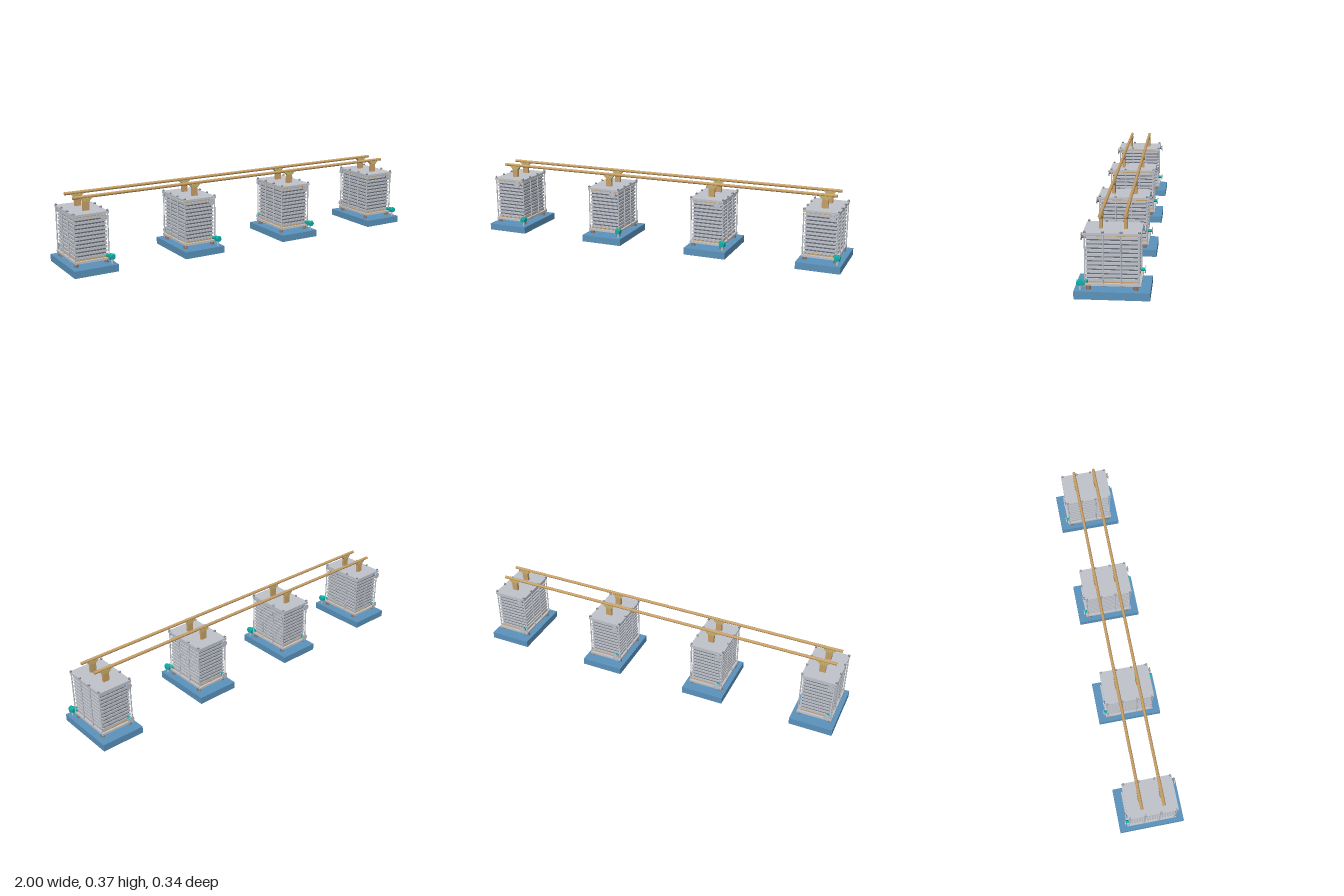
import * as THREE from 'three';

const mat = (name, color) => {
  const m = new THREE.MeshStandardMaterial({ color });
  m.name = name;
  return m;
};
const M = {
  blue: mat('blue paint', 0x5b93bd),
  steel: mat('light steel', 0xc0c4cb),
  dark: mat('dark steel', 0x6b6f7b),
  bolt: mat('bolt grey', 0x8a8e96),
  copper: mat('tan pipe', 0xc9a067),
  brass: mat('brass fitting', 0xc8b46e),
  brown: mat('brown foot', 0x9a7762),
  teal: mat('teal pump', 0x12b0a8),
};

function add(parent, name, geo, material, x = 0, y = 0, z = 0) {
  const m = new THREE.Mesh(geo, material);
  m.name = name;
  m.position.set(x, y, z);
  parent.add(m);
  return m;
}
const box = (p, name, material, w, h, d, x, y, z) =>
  add(p, name, new THREE.BoxGeometry(w, h, d), material, x, y, z);

// Cylinder along a chosen axis
function rod(p, name, material, r, len, x, y, z, axis = 'y', sides = 16) {
  const g = new THREE.CylinderGeometry(r, r, len, sides);
  if (axis === 'x') g.rotateZ(Math.PI / 2);
  if (axis === 'z') g.rotateX(Math.PI / 2);
  return add(p, name, g, material, x, y, z);
}

// Short pipe stub ending in a bolted flange; dir is +1 (front) or -1 (back)
function flangedPort(p, name, material, x, y, dir) {
  const g = new THREE.Group();
  g.name = name;
  rod(g, 'portPipe', material, 0.008, 0.028, x, y, dir * 0.122, 'z');
  rod(g, 'portFlange', M.steel, 0.017, 0.004, x, y, dir * 0.136, 'z', 20);
  for (let i = 0; i < 4; i++) {
    const a = Math.PI / 4 + (i * Math.PI) / 2;
    rod(g, 'flangeBolt', M.bolt, 0.002, 0.006,
      x + 0.0135 * Math.cos(a), y + 0.0135 * Math.sin(a), dir * 0.136, 'z', 6);
  }
  p.add(g);
}

// Flared saddle that joins a riser to the header pipe
function saddleGeometry() {
  const s = new THREE.Shape();
  s.moveTo(-0.016, 0);
  s.lineTo(0.016, 0);
  s.lineTo(0.03, 0.013);
  s.lineTo(0.03, 0.017);
  s.lineTo(-0.03, 0.017);
  s.lineTo(-0.03, 0.013);
  const g = new THREE.ExtrudeGeometry(s, { depth: 0.018, bevelEnabled: false });
  g.translate(0, 0, -0.009);
  return g;
}

function createUnit() {
  const unit = new THREE.Group();
  unit.name = 'unit';
  box(unit, 'plinth', M.blue, 0.225, 0.036, 0.335, 0, 0.018, 0);

  const body = new THREE.Group();
  body.name = 'plateStack';
  body.position.x = -0.003;
  unit.add(body);

  // Feet
  for (const x of [-0.078, 0.078])
    for (const z of [-0.104, 0.105])
      rod(body, 'foot', M.brown, 0.0105, 0.02, x, 0.0455, z);

  // End plates, core and stacked plates
  box(body, 'bottomPlate', M.steel, 0.18, 0.011, 0.255, 0, 0.0605, 0);
  box(body, 'topPlate', M.steel, 0.18, 0.011, 0.255, 0, 0.2905, 0);
  box(body, 'core', M.dark, 0.148, 0.216, 0.222, 0, 0.1755, 0);
  box(body, 'lowerGasket', M.copper, 0.156, 0.005, 0.23, 0, 0.0685, 0);
  box(body, 'upperGasket', M.copper, 0.156, 0.006, 0.23, 0, 0.281, 0);
  const count = 11;
  for (let i = 0; i < count; i++)
    box(body, 'stackPlate', M.steel, 0.162, 0.0115, 0.23, 0, 0.079 + (i * 0.1925) / (count - 1), 0);

  // Tie rods with nuts on both ends
  for (const x of [-0.0865, 0.0865])
    for (const z of [-0.118, -0.039, 0.04, 0.119]) {
      rod(body, 'tieRod', M.steel, 0.0033, 0.258, x, 0.177, z, 'y', 10);
      rod(body, 'topNut', M.bolt, 0.006, 0.006, x, 0.299, z, 'y', 6);
      rod(body, 'bottomNut', M.bolt, 0.0055, 0.004, x, 0.053, z, 'y', 6);
    }

  // Side ports
  flangedPort(body, 'frontUpperPort', M.brown, 0.06, 0.272, 1);
  flangedPort(body, 'backUpperPort', M.blue, -0.068, 0.272, -1);
  flangedPort(body, 'backLowerPort', M.teal, -0.068, 0.08, -1);

  // Pump on its post
  const pump = new THREE.Group();
  pump.name = 'pump';
  pump.position.set(0.09, 0, 0.138);
  unit.add(pump);
  rod(pump, 'pumpPost', M.steel, 0.005, 0.026, 0, 0.047, 0.002);
  box(pump, 'pumpBody', M.teal, 0.02, 0.02, 0.024, 0, 0.071, 0);
  rod(pump, 'pumpBarrelAcross', M.teal, 0.0125, 0.028, 0, 0.071, 0, 'x');
  rod(pump, 'pumpBarrelAlong', M.teal, 0.0125, 0.034, 0, 0.071, 0, 'z');
  rod(pump, 'pumpInlet', M.teal, 0.008, 0.026, -0.014, 0.075, -0.018, 'z');

  // Risers with saddles
  for (const z of [-0.0545, 0.0555]) {
    box(unit, 'riser', M.copper, 0.032, 0.046, 0.015, 0, 0.319, z);
    add(unit, 'saddle', saddleGeometry(), M.brass, 0, 0.341, z);
  }
  return unit;
}

export function createModel() {
  const model = new THREE.Group();
  model.name = 'linkedUnits';
  for (let i = 0; i < 4; i++) {
    const u = createUnit();
    u.position.x = -0.8875 + i * (1.775 / 3);
    model.add(u);
  }
  // Header pipes joining all units
  for (const z of [-0.0545, 0.0555])
    rod(model, 'headerPipe', M.copper, 0.0078, 1.9, -0.003, 0.3625, z, 'x', 20);
  return model;
}
